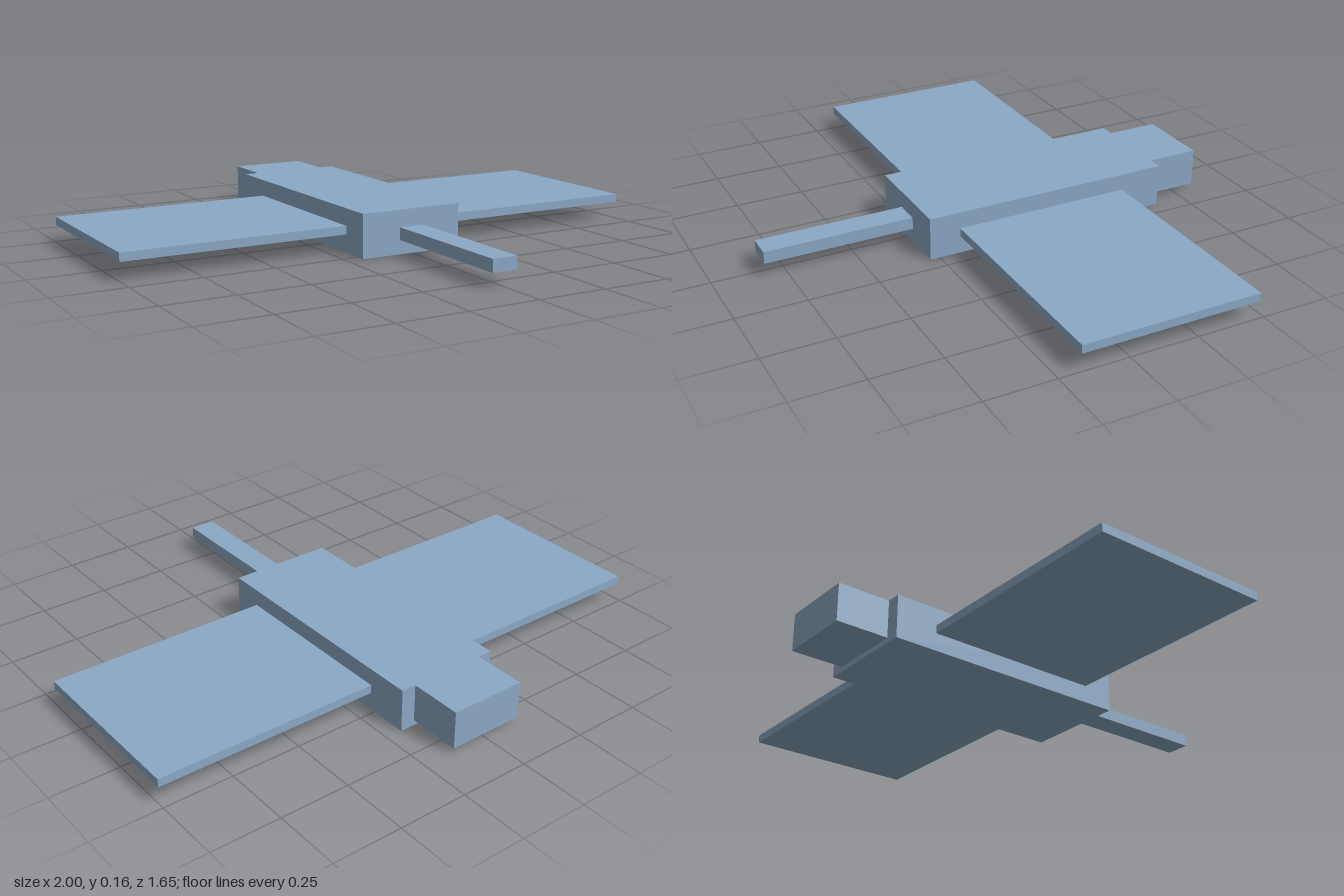
import * as THREE from 'three';

export function createModel() {
  const model = new THREE.Group();
  model.name = 'satellite';

  const blueGrey = new THREE.MeshStandardMaterial({ color: 0x8ba8c4 });
  blueGrey.name = 'blue grey';

  // Box given by its extents along each axis
  function box(name, [x0, x1], [y0, y1], [z0, z1]) {
    const geometry = new THREE.BoxGeometry(x1 - x0, y1 - y0, z1 - z0);
    const mesh = new THREE.Mesh(geometry, blueGrey);
    mesh.position.set((x0 + x1) / 2, (y0 + y1) / 2, (z0 + z1) / 2);
    mesh.name = name;
    model.add(mesh);
  }

  // Central body with a narrower block at the rear and a boom at the front
  box('body', [-0.192, 0.19], [0, 0.155], [-0.635, 0.285]);
  box('rearBlock', [-0.139, 0.137], [0.019, 0.155], [-0.826, -0.635]);
  box('frontBoom', [-0.047, 0.045], [0.05, 0.094], [0.285, 0.826]);

  // Flat side panels
  box('leftPanel', [0.19, 1], [0.064, 0.094], [-0.48, 0.172]);
  box('rightPanel', [-1, -0.192], [0.064, 0.094], [-0.48, 0.172]);

  return model;
}
